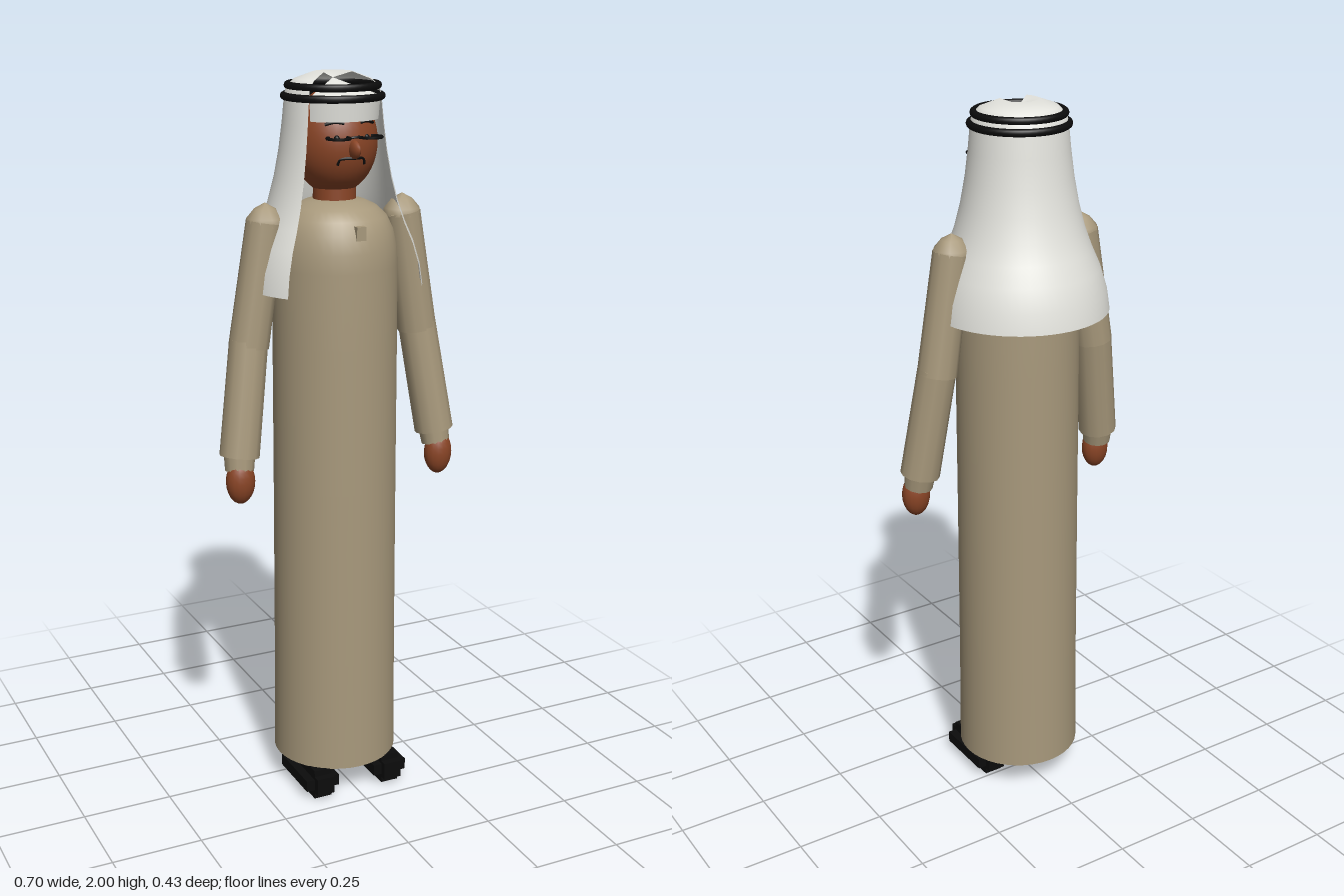
import * as THREE from 'three';

const V = (x, y, z) => new THREE.Vector3(x, y, z);

function makeMaterials() {
  const make = (name, color, side = THREE.FrontSide) => {
    const m = new THREE.MeshStandardMaterial({ color, side });
    m.name = name;
    return m;
  };
  return {
    robe: make('tanCloth', 0xa8997c, THREE.DoubleSide),
    white: make('whiteCloth', 0xe4e4de, THREE.DoubleSide),
    skin: make('brownSkin', 0x8a4526),
    black: make('black', 0x0c0c0c),
  };
}

function add(parent, name, geometry, material, x = 0, y = 0, z = 0) {
  const mesh = new THREE.Mesh(geometry, material);
  mesh.name = name;
  mesh.position.set(x, y, z);
  parent.add(mesh);
  return mesh;
}

// Turned surface from [radius, height] pairs, listed from bottom to top
function lathe(profile, segments = 40, start = 0, length = Math.PI * 2) {
  return new THREE.LatheGeometry(profile.map(([r, y]) => new THREE.Vector2(r, y)), segments, start, length);
}

// Tapered round section between two points
function limb(parent, name, from, to, rFrom, rTo, material, sides = 12) {
  const dir = to.clone().sub(from);
  const mesh = add(parent, name, new THREE.CylinderGeometry(rTo, rFrom, dir.length(), sides), material);
  mesh.position.copy(from).add(to).multiplyScalar(0.5);
  mesh.quaternion.setFromUnitVectors(V(0, 1, 0), dir.normalize());
  return mesh;
}

function tube(points, radius) {
  return new THREE.TubeGeometry(new THREE.CatmullRomCurve3(points), 16, radius, 6);
}

function buildArm(side, mat) {
  const arm = new THREE.Group();
  arm.name = side > 0 ? 'leftArm' : 'rightArm';
  const shoulder = V(side * 0.2, 1.625, 0.037);
  const elbow = V(side * 0.251, 1.3, 0.038);
  const wrist = V(side * 0.295, 1.01, 0.068);
  limb(arm, 'upperSleeve', elbow, shoulder, 0.054, 0.05, mat.robe);
  limb(arm, 'lowerSleeve', wrist, elbow.clone().add(V(0, 0.015, 0)), 0.054, 0.052, mat.robe);
  limb(arm, 'cuff', V(side * 0.298, 0.972, 0.074), wrist, 0.039, 0.042, mat.robe);
  add(arm, 'shoulderCap', lathe([[0.05, -0.01], [0.049, 0.01], [0.028, 0.035], [0, 0.05]], 10),
    mat.robe, shoulder.x, shoulder.y, shoulder.z);
  const hand = add(arm, 'hand', new THREE.SphereGeometry(1, 16, 12), mat.skin, side * 0.3, 0.945, 0.085);
  hand.scale.set(0.04, 0.062, 0.034);
  return arm;
}

function buildLeg(side, mat) {
  const leg = new THREE.Group();
  leg.name = side > 0 ? 'leftLeg' : 'rightLeg';
  const x = side * 0.106;
  limb(leg, 'trouser', V(x, 0.08, 0.06), V(side * 0.09, 0.6, 0.045), 0.045, 0.055, mat.robe);
  // Shoe with stepped corners: three crossing blocks
  const blocks = [[0.1, 0.032, 0.175], [0.052, 0.05, 0.215], [0.052, 0.086, 0.175]];
  for (const size of blocks) add(leg, 'shoe', new THREE.BoxGeometry(...size), mat.black, x, 0.043, 0.099);
  return leg;
}

function buildHead(mat) {
  const head = new THREE.Group();
  head.name = 'head';
  add(head, 'neck', new THREE.CylinderGeometry(0.056, 0.058, 0.12, 24), mat.skin, 0, 1.68, 0.035);
  const skull = add(head, 'face', new THREE.SphereGeometry(1, 32, 24), mat.skin, 0, 1.822, 0.032);
  skull.scale.set(0.114, 0.138, 0.116);
  const nose = add(head, 'nose', new THREE.SphereGeometry(1, 12, 8), mat.skin, 0, 1.812, 0.152);
  nose.scale.set(0.013, 0.024, 0.03);

  // Eye rings lie flat, with a small bridge
  for (const s of [-1, 1]) {
    const ring = add(head, 'eyeRing', new THREE.TorusGeometry(0.03, 0.004, 6, 24), mat.black, s * 0.045, 1.842, 0.153);
    ring.rotation.x = Math.PI / 2;
    add(head, 'eye', new THREE.SphereGeometry(0.008, 10, 8), mat.black, s * 0.042, 1.84, 0.136);
    add(head, 'eyebrow', tube([V(s * 0.022, 1.877, 0.138), V(s * 0.045, 1.88, 0.132), V(s * 0.068, 1.874, 0.12)], 0.004), mat.black);
  }
  add(head, 'bridge', tube([V(-0.017, 1.842, 0.16), V(0, 1.844, 0.163), V(0.017, 1.842, 0.16)], 0.003), mat.black);
  add(head, 'moustache', tube([V(-0.038, 1.772, 0.132), V(-0.033, 1.786, 0.136), V(0, 1.789, 0.147),
    V(0.033, 1.786, 0.136), V(0.038, 1.772, 0.132)], 0.004), mat.black);
  return head;
}

function buildHeaddress(mat) {
  const group = new THREE.Group();
  group.name = 'headdress';
  group.position.z = 0.025;
  const gap = 0.94;
  // Veil wraps the back and sides, open at the front
  const veil = [[0.24, 1.445], [0.232, 1.5], [0.214, 1.56], [0.192, 1.61], [0.172, 1.665], [0.155, 1.73],
    [0.142, 1.8], [0.133, 1.87], [0.127, 1.93], [0.122, 1.96], [0.1, 1.98], [0.05, 1.998], [0, 1.982]];
  add(group, 'veil', lathe(veil, 40, gap, Math.PI * 2 - gap * 2), mat.white);
  // Front of the cap with the forehead band
  add(group, 'foreheadBand', lathe([[0.12, 1.88], [0.125, 1.94]], 16, -gap, gap * 2), mat.white);
  add(group, 'capFront', lathe([[0.125, 1.94], [0, 1.982]], 16, -gap, gap * 2), mat.white);
  for (const [r, y] of [[0.127, 1.937], [0.117, 1.964]]) {
    const cord = add(group, 'headCord', new THREE.TorusGeometry(r, 0.01, 10, 48), mat.black, 0, y, 0);
    cord.rotation.x = Math.PI / 2;
  }
  return group;
}

export function createModel() {
  const mat = makeMaterials();
  const model = new THREE.Group();
  model.name = 'robedFigure';

  // Long open-bottomed robe with rounded shoulders
  const robe = [[0.174, 0.085], [0.171, 0.4], [0.169, 0.9], [0.168, 1.3], [0.167, 1.5], [0.164, 1.55],
    [0.154, 1.595], [0.137, 1.63], [0.11, 1.655], [0.08, 1.669], [0.05, 1.675]];
  add(model, 'robe', lathe(robe), mat.robe, 0, 0, 0.038);
  add(model, 'placket', new THREE.BoxGeometry(0.026, 0.036, 0.03), mat.robe, 0, 1.603, 0.182);

  for (const side of [-1, 1]) model.add(buildArm(side, mat), buildLeg(side, mat));
  model.add(buildHead(mat), buildHeaddress(mat));
  return model;
}
